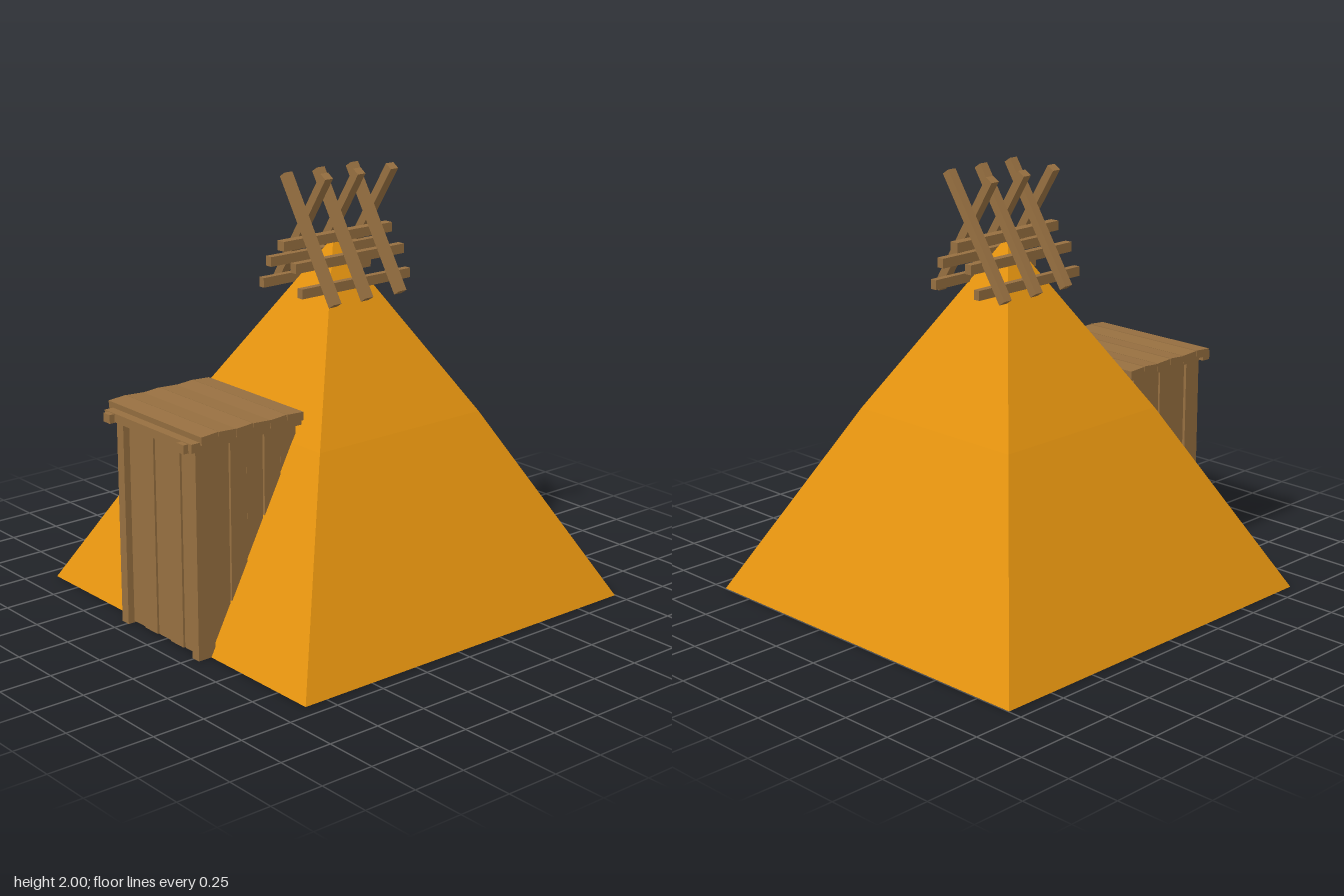
import * as THREE from 'three';

export function createModel() {
  const model = new THREE.Group();
  const canvas = new THREE.MeshStandardMaterial({ color: 0xe4930f, side: THREE.DoubleSide });
  canvas.name = 'orange canvas';
  const wood = new THREE.MeshStandardMaterial({ color: 0x966f40 });
  wood.name = 'brown wood';

  const group = (name, parent = model) => {
    const g = new THREE.Group();
    g.name = name;
    parent.add(g);
    return g;
  };
  // Box given by its minimum and maximum corners
  const beam = (parent, name, [x0, y0, z0], [x1, y1, z1]) => {
    const mesh = new THREE.Mesh(new THREE.BoxGeometry(x1 - x0, y1 - y0, z1 - z0), wood);
    mesh.position.set((x0 + x1) / 2, (y0 + y1) / 2, (z0 + z1) / 2);
    mesh.name = name;
    parent.add(mesh);
    return mesh;
  };

  // Tent: open-bottomed square pyramid with a slight outward bend halfway up
  const rings = [[0.93, 0], [0.47, 0.88], [0, 1.68]];
  const corners = [[1, 1], [1, -1], [-1, -1], [-1, 1]];
  const points = [];
  const at = (c, [r, y]) => [c[0] * r, y, c[1] * r];
  corners.forEach((c, i) => {
    const d = corners[(i + 1) % 4];
    const [low, mid, top] = rings;
    points.push(...at(c, low), ...at(d, low), ...at(d, mid));
    points.push(...at(c, low), ...at(d, mid), ...at(c, mid));
    points.push(...at(c, mid), ...at(d, mid), ...at(c, top));
  });
  const tentGeometry = new THREE.BufferGeometry();
  tentGeometry.setAttribute('position', new THREE.Float32BufferAttribute(points, 3));
  tentGeometry.computeVertexNormals();
  const tent = new THREE.Mesh(tentGeometry, canvas);
  tent.name = 'tent';
  tent.position.z = -0.067;
  model.add(tent);

  // Crossed poles over the peak
  const crown = group('crown');
  const pole = (name, from, to, z) => {
    const a = new THREE.Vector2(...from), b = new THREE.Vector2(...to);
    const mesh = new THREE.Mesh(new THREE.BoxGeometry(0.04, a.distanceTo(b), 0.044), wood);
    mesh.position.set((a.x + b.x) / 2, (a.y + b.y) / 2, z);
    mesh.rotation.z = -Math.atan2(b.x - a.x, b.y - a.y);
    mesh.name = name;
    crown.add(mesh);
  };
  for (const z of [-0.31, -0.117, 0.07]) pole('poleLeaningLeft', [-0.228, 1.457], [0.117, 1.987], z);
  for (const z of [-0.26, -0.063, 0.122]) pole('poleLeaningRight', [0.237, 1.437], [-0.1, 1.972], z);

  // Horizontal rails resting on the slopes
  const rails = [[0, 1.68, 0.045], [0.087, 1.595, 0.037], [-0.087, 1.595, 0.037], [0.133, 1.49, 0.032], [-0.138, 1.49, 0.032]];
  for (const [x, y, w] of rails) {
    beam(crown, 'rail', [x - w / 2, y - 0.022, -0.397], [x + w / 2, y + 0.022, 0.235]);
  }

  // Entrance posts and side boards, running on inside the tent
  const porch = group('entrance');
  for (const s of [-1, 1]) {
    const post = beam(porch, 'post', [-0.024, 0, 0.84], [0.024, 0.99, 0.93]);
    post.position.x = s * 0.264;
    const n = 5, w = 0.46 / n;
    for (let i = 0; i < n; i++) {
      const z = 0.38 + i * w;
      const board = beam(porch, 'sideBoard', [-0.014, 0.005, z], [0.014, 0.985, z + w - 0.005]);
      board.position.x = s * (0.264 + (i % 2) * 0.006);
    }
  }

  // Front boards between the posts
  const count = 5, width = 0.484 / count;
  for (let i = 0; i < count; i++) {
    const x = -0.242 + i * width, out = (i % 2) * 0.007;
    beam(porch, 'frontBoard', [x, 0.008, 0.868 + out], [x + width - 0.004, 0.985, 0.898 + out]);
  }

  // Beams below the roof
  for (const x of [-0.27, 0.27]) beam(porch, 'roofBeam', [x - 0.024, 0.957, 0.36], [x + 0.024, 0.997, 0.995]);
  beam(porch, 'roofCrossBeam', [-0.32, 0.96, 0.925], [0.316, 1.0, 0.97]);

  // Roof planks, each tipped a little
  const planks = 6, depth = 0.55 / planks;
  for (let i = 0; i < planks; i++) {
    const z = 0.378 + i * depth;
    const plank = beam(porch, 'roofPlank', [-0.35, 0.992, z + 0.001], [0.33, 1.03, z + depth - 0.001]);
    plank.rotation.x = i % 2 ? 0.08 : -0.05;
  }
  return model;
}
